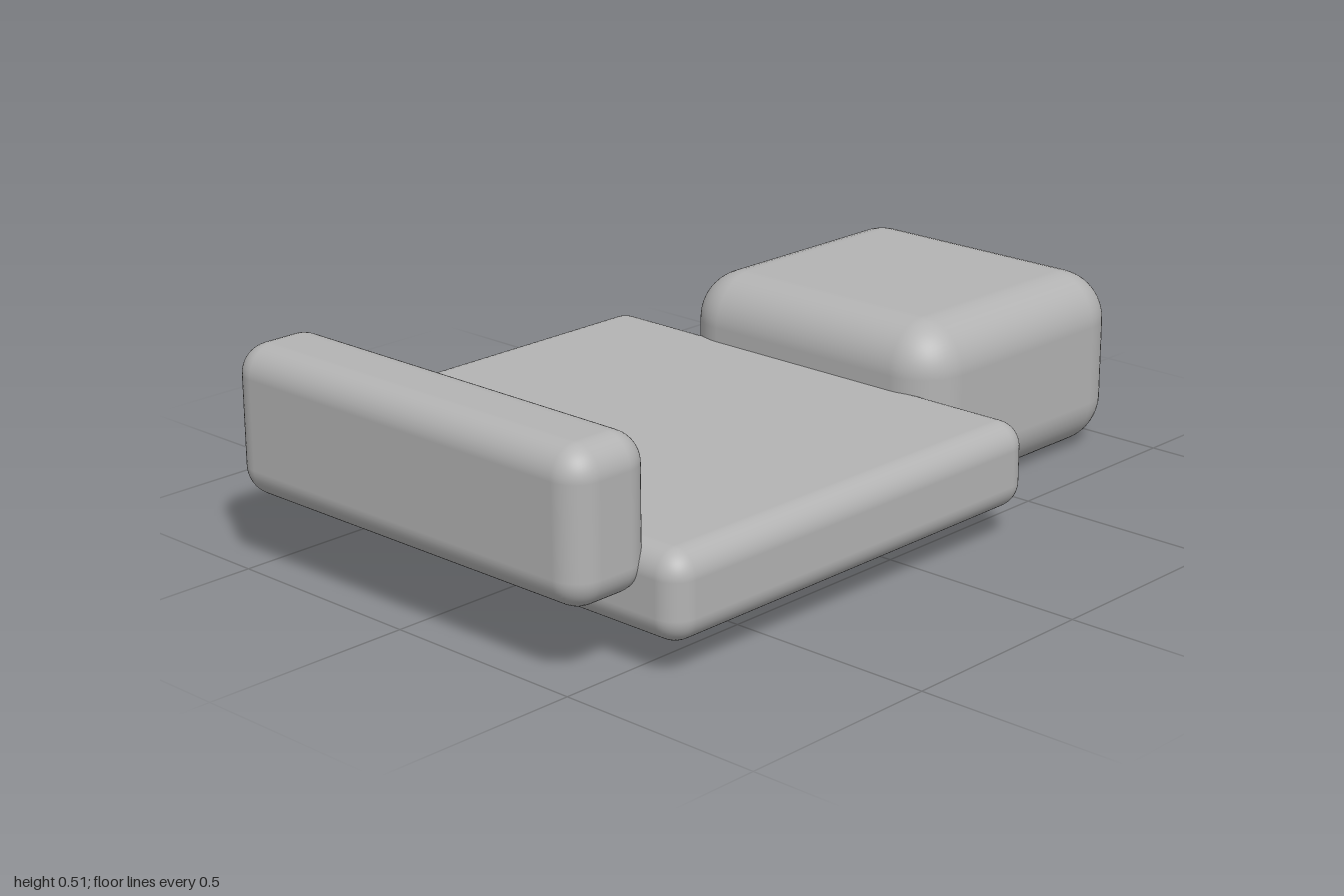
import * as THREE from 'three';
import { RoundedBoxGeometry } from 'three/addons/geometries/RoundedBoxGeometry.js';

export function createModel() {
  const model = new THREE.Group();
  model.name = 'roundedBlocks';

  const grey = new THREE.MeshStandardMaterial({ color: 0xb3b3b3 });
  grey.name = 'plain grey';

  // Rounded block spanning x0..x1 and y0..y1, centred on z = 0
  function addBlock(name, [x0, x1], [y0, y1], depth, radius) {
    const geometry = new RoundedBoxGeometry(x1 - x0, y1 - y0, depth, 6, radius);
    const mesh = new THREE.Mesh(geometry, grey);
    mesh.name = name;
    mesh.position.set((x0 + x1) / 2, (y0 + y1) / 2, 0);
    model.add(mesh);
  }

  // Upright bar overlapping the slab's right end
  addBlock('endBar', [-1, -0.777], [0.168, 0.515], 1.065, 0.07);
  // Wide flat slab in the middle
  addBlock('slab', [-0.827, 0.32], [0.075, 0.278], 1.27, 0.06);
  // Large soft block at the left end
  addBlock('endBlock', [0.262, 1], [0, 0.432], 0.78, 0.12);

  return model;
}
